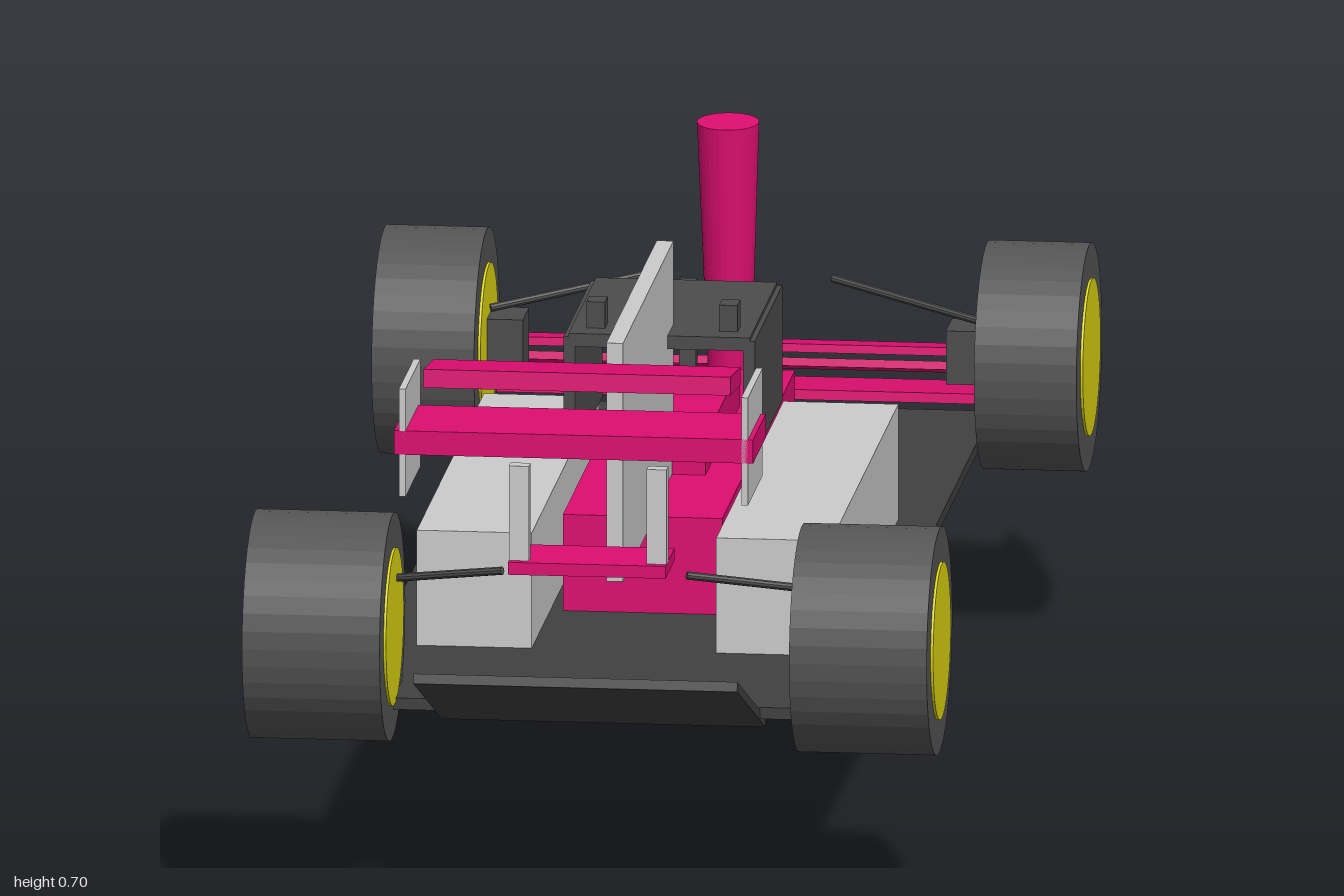
import * as THREE from 'three';

const mat = (color) => new THREE.MeshStandardMaterial({ color, flatShading: true });

export function createModel() {
  const model = new THREE.Group();
  const grey = mat(0xcccccc), pink = mat(0xdd0e70), dark = mat(0x4c4c4c);
  const rubber = mat(0x555555), yellow = mat(0xdfd812), black = mat(0x404040);

  const add = (name, geometry, material) => {
    const mesh = new THREE.Mesh(geometry, material);
    mesh.name = name;
    model.add(mesh);
    return mesh;
  };
  // Box given by its limits on each axis
  const box = (name, material, [x0, x1], [y0, y1], [z0, z1]) => {
    const mesh = add(name, new THREE.BoxGeometry(x1 - x0, y1 - y0, z1 - z0), material);
    mesh.position.set((x0 + x1) / 2, (y0 + y1) / 2, (z0 + z1) / 2);
    return mesh;
  };
  // The same box on both sides of the car
  const pair = (name, material, [x0, x1], y, z) => {
    box(name + 'Left', material, [x0, x1], y, z);
    box(name + 'Right', material, [-x1, -x0], y, z);
  };
  // Round bar between two points
  const rod = (name, material, a, b, rA, rB = rA, sides = 10) => {
    const from = new THREE.Vector3(...a), to = new THREE.Vector3(...b);
    const dir = to.clone().sub(from);
    const mesh = add(name, new THREE.CylinderGeometry(rB, rA, dir.length(), sides), material);
    mesh.position.copy(from).add(to).multiplyScalar(0.5);
    mesh.quaternion.setFromUnitVectors(new THREE.Vector3(0, 1, 0), dir.normalize());
    return mesh;
  };
  // Flat plate across the car, sloping from (z0, y0) to (z1, y1)
  const slope = (name, material, halfWidth, thick, [z0, y0], [z1, y1]) => {
    const length = Math.hypot(z1 - z0, y1 - y0);
    const mesh = add(name, new THREE.BoxGeometry(halfWidth * 2, thick, length), material);
    mesh.position.set(0, (y0 + y1) / 2, (z0 + z1) / 2);
    mesh.rotation.x = -Math.atan2(y1 - y0, z1 - z0);
    return mesh;
  };

  // Floor and diffuser
  box('floor', black, [-0.295, 0.295], [0.234, 0.248], [-0.81, 0.74]);
  slope('diffuser', black, 0.193, 0.012, [0.68, 0.216], [0.98, 0.329]);

  // Body, side pods and engine fin
  box('body', pink, [-0.095, 0.095], [0.248, 0.365], [-0.5, 0.27]);
  box('cockpitBase', pink, [-0.05, 0.05], [0.365, 0.41], [-0.315, 0.05]);
  pair('sidePod', grey, [0.11, 0.247], [0.248, 0.388], [-0.243, 0.467]);
  box('engineFin', grey, [-0.01, 0.01], [0.355, 0.645], [0.033, 0.565]);

  // Tapered nose cone
  rod('noseCone', pink, [0, 0.001, -0.668], [0, 0.634, -0.633], 0.014, 0.037, 32);

  // Cockpit guard: sides, roof, cross bar, post and two cameras
  pair('cockpitSide', dark, [0.1, 0.114], [0.4, 0.54], [-0.195, 0.095]);
  box('cockpitRoof', dark, [-0.108, 0.108], [0.528, 0.544], [-0.195, 0.095]);
  box('cockpitBar', dark, [-0.1, 0.1], [0.49, 0.522], [-0.195, -0.175]);
  box('cockpitPost', dark, [-0.01, 0.01], [0.405, 0.54], [-0.222, -0.203]);
  pair('camera', dark, [0.068, 0.09], [0.544, 0.576], [0.035, 0.065]);

  // Wheels with hubs and suspension arms
  for (const side of [1, -1]) {
    const label = side > 0 ? 'Left' : 'Right';
    for (const [end, z, inner, outer] of [['rear', 0.75, 0.244, 0.408], ['front', -0.725, 0.298, 0.42]]) {
      rod(end + 'Tyre' + label, rubber, [side * inner, 0.337, z], [side * outer, 0.337, z], 0.136, 0.136, 40);
      rod(end + 'Hub' + label, yellow, [side * (inner - 0.003), 0.337, z], [side * (outer + 0.003), 0.337, z], 0.094, 0.094, 40);
    }
    rod('rearArm' + label, dark, [side * 0.26, 0.388, 0.72], [side * 0.11, 0.415, 0.777], 0.005);
    rod('frontArm' + label, dark, [side * 0.29, 0.385, -0.695], [side * 0.11, 0.415, -0.765], 0.005);
  }
  pair('frontBrake', dark, [0.252, 0.3], [0.305, 0.37], [-0.765, -0.7]);

  // Rear wing, its end plates, struts and lower beam
  box('rearWing', pink, [-0.214, 0.214], [0.606, 0.635], [0.865, 1]);
  slope('rearFlap', pink, 0.183, 0.022, [0.857, 0.678], [0.965, 0.691]);
  pair('rearEndPlate', grey, [0.2, 0.208], [0.555, 0.686], [0.845, 1]);
  pair('rearStrut', grey, [0.07, 0.094], [0.44, 0.56], [0.832, 0.85]);
  box('beamWing', pink, [-0.094, 0.094], [0.43, 0.445], [0.765, 0.86]);

  // Front wing in three steps, with end plates, tips and centre block
  slope('frontWing', pink, 0.365, 0.012, [-0.988, 0.236], [-0.86, 0.25]);
  slope('frontFlapLower', pink, 0.362, 0.01, [-0.955, 0.264], [-0.885, 0.284]);
  slope('frontFlapUpper', pink, 0.34, 0.01, [-0.92, 0.298], [-0.85, 0.309]);
  pair('frontEndPlate', grey, [0.365, 0.373], [0.222, 0.303], [-0.998, -0.847]);
  pair('frontWingTip', pink, [0.365, 0.41], [0.283, 0.308], [-0.928, -0.918]);
  box('frontWingBlock', grey, [-0.024, 0.024], [0.225, 0.3], [-1, -0.92]);

  return model;
}
